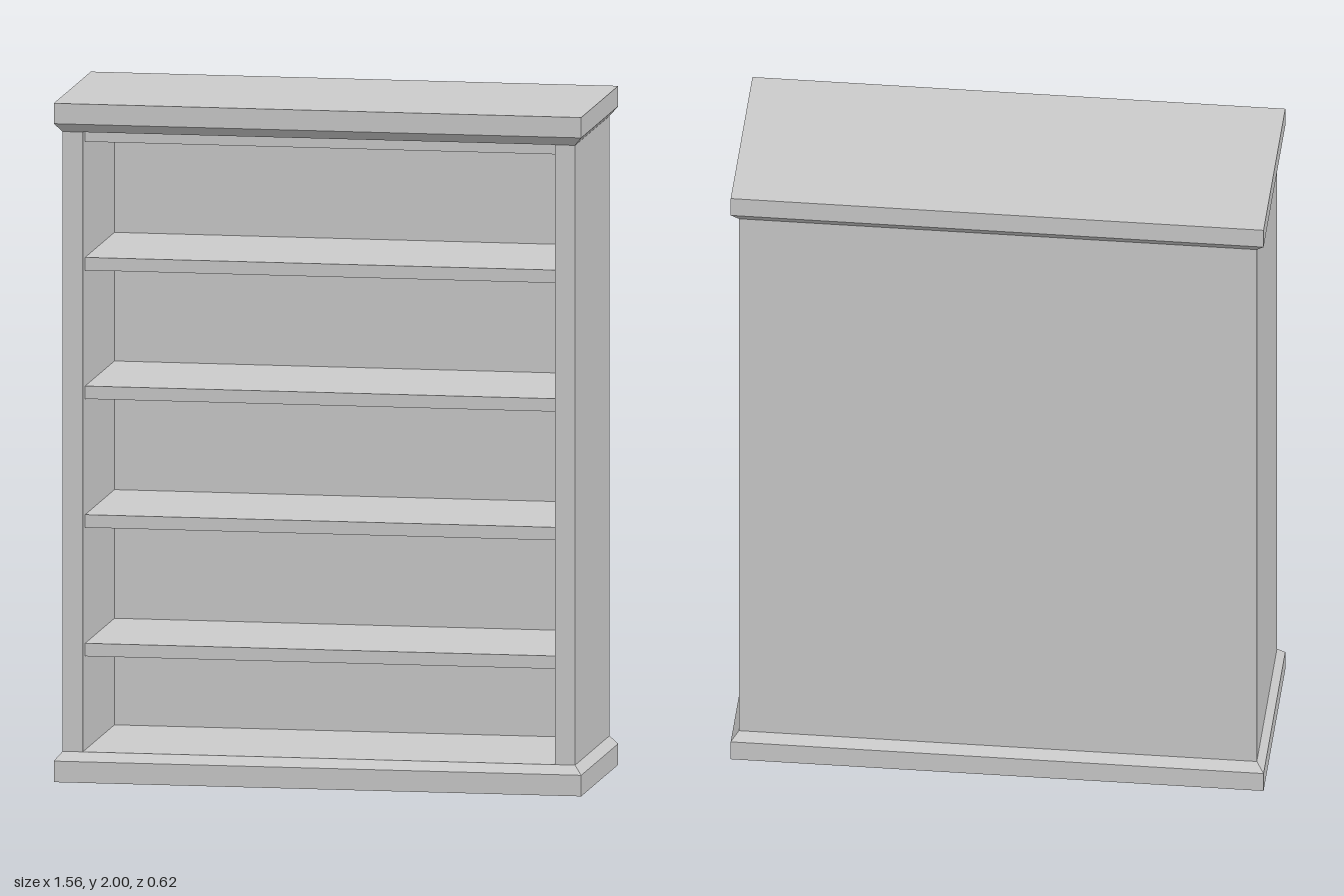
import * as THREE from 'three';

const material = new THREE.MeshStandardMaterial({ color: 0xcccccc, flatShading: true });

// Box spanning the given ranges
function box(name, [x0, x1], [y0, y1], [z0, z1]) {
  const mesh = new THREE.Mesh(new THREE.BoxGeometry(x1 - x0, y1 - y0, z1 - z0), material);
  mesh.position.set((x0 + x1) / 2, (y0 + y1) / 2, (z0 + z1) / 2);
  mesh.name = name;
  return mesh;
}

// Square-edged slab with a chamfer that tapers to the carcass
function moulding(name, rim, body, slabY, chamferY) {
  const group = new THREE.Group();
  group.name = name;
  const slab = box(name + 'Slab', [-rim.x, rim.x], slabY, [-rim.z, rim.z]);
  const chamfer = box(name + 'Chamfer', [-rim.x, rim.x], chamferY, [-rim.z, rim.z]);
  const p = chamfer.geometry.attributes.position;
  const inward = chamferY[0] >= slabY[1] ? 1 : -1;
  for (let i = 0; i < p.count; i++) {
    if (p.getY(i) * inward > 0) {
      p.setX(i, Math.sign(p.getX(i)) * body.x);
      p.setZ(i, Math.sign(p.getZ(i)) * body.z);
    }
  }
  chamfer.geometry.computeVertexNormals();
  group.add(slab, chamfer);
  return group;
}

export function createModel() {
  const model = new THREE.Group();
  model.name = 'bookcase';

  const rim = { x: 0.78, z: 0.308 };
  const body = { x: 0.758, z: 0.286 };
  const innerX = 0.698, backZ = -0.24, shelfZ = 0.247;
  const bottom = 0.088, top = 1.914;

  // Base and top mouldings
  model.add(moulding('plinth', rim, body, [0, 0.062], [0.062, bottom]));
  model.add(moulding('cornice', rim, body, [1.94, 2], [top, 1.94]));

  // Side panels
  model.add(box('leftSide', [innerX, body.x], [bottom, top], [-body.z, body.z]));
  model.add(box('rightSide', [-body.x, -innerX], [bottom, top], [-body.z, body.z]));

  // Back panel
  model.add(box('backPanel', [-innerX, innerX], [bottom, top], [-body.z, backZ]));

  // Four set-back shelves and the top board
  for (let i = 0; i < 5; i++) {
    const y = 0.364 + i * 0.379;
    const name = i < 4 ? 'shelf' + (i + 1) : 'topBoard';
    model.add(box(name, [-innerX, innerX], [y, Math.min(y + 0.038, top)], [backZ, shelfZ]));
  }
  return model;
}
